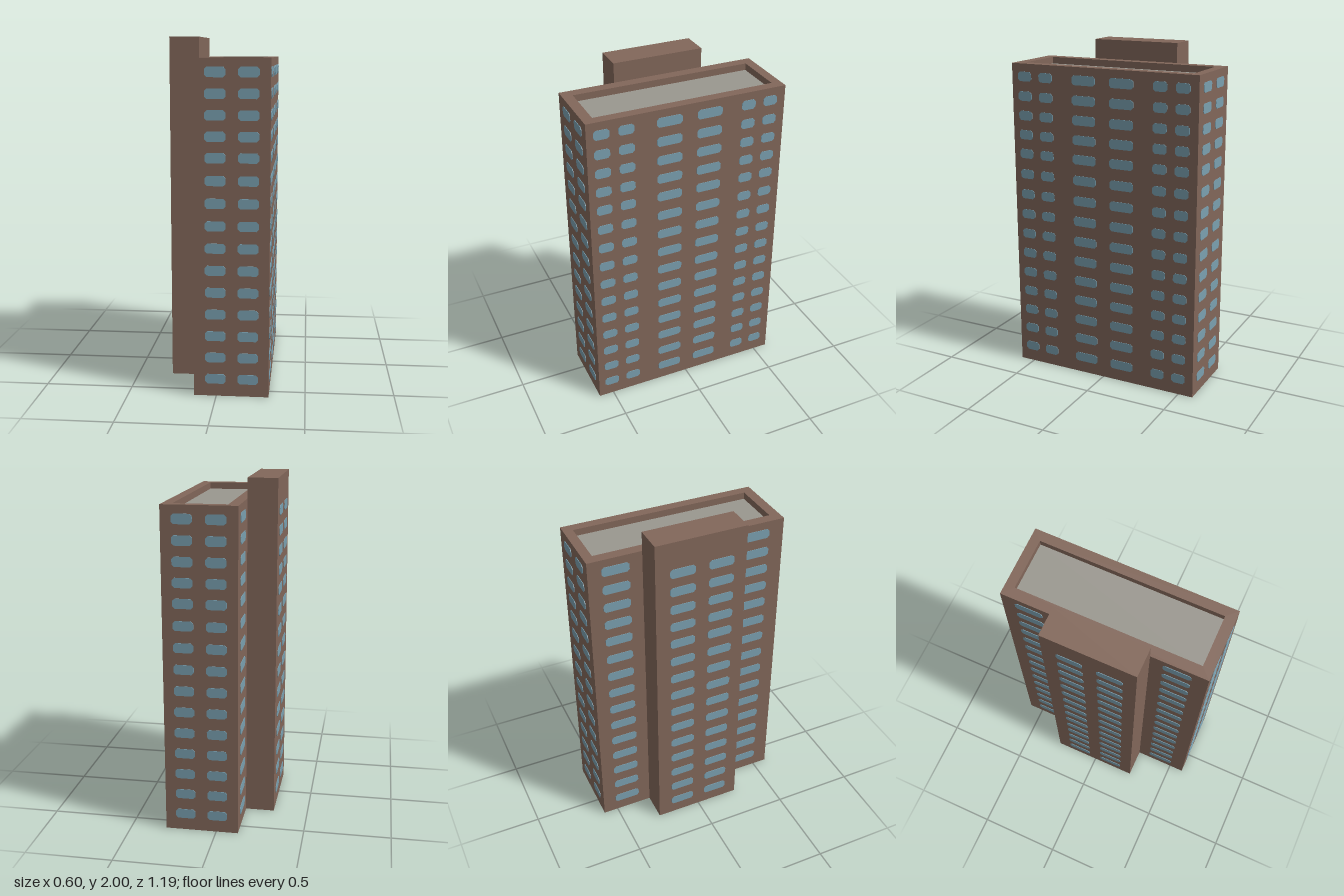
import * as THREE from 'three';
import { mergeGeometries } from 'three/addons/utils/BufferGeometryUtils.js';

const mat = (name, color) => new THREE.MeshStandardMaterial({ name, color, side: THREE.DoubleSide });

// Block plan: x range, z range and heights
const X0 = -0.127, X1 = 0.295, Z = 0.59, H = 1.885;
const TX = -0.297, TZ0 = -0.275, TZ1 = 0.265, TH = 2;
const ROOF_Y = H - 0.04, IN = { x0: -0.065, x1: 0.237, z0: -0.535, z1: 0.53 };
const FLOORS = 15;

// Storeys get slightly lower near the top
const floorY = i => 0.1 + 0.125 * Math.min(i, 10) + 0.115 * Math.max(0, i - 10);

// Thin window plate with clipped corners, visible on both faces of the wall
function windowGeometry(width) {
  const w = width / 2, h = 0.028, c = 0.013;
  const shape = new THREE.Shape([
    [-w + c, -h], [w - c, -h], [w, -h + c], [w, h - c],
    [w - c, h], [-w + c, h], [-w, h - c], [-w, -h + c],
  ].map(p => new THREE.Vector2(...p)));
  return new THREE.ExtrudeGeometry(shape, { depth: 0.006, bevelEnabled: false }).translate(0, 0, -0.003);
}

export function createModel() {
  const model = new THREE.Group();
  model.name = 'apartmentBlock';
  const brick = mat('brown brick', 0x82675a);
  const glass = mat('blue glass', 0x7aa0b0);
  const gravel = mat('grey roof', 0x9a978f);

  // Upright wall from plan point a to b; spans are window ranges measured from a
  function wall(name, a, b, y0, y1, spans = []) {
    const dx = b[0] - a[0], dz = b[1] - a[1], len = Math.hypot(dx, dz);
    const group = new THREE.Group();
    group.name = name;
    group.position.set((a[0] + b[0]) / 2, 0, (a[1] + b[1]) / 2);
    group.rotation.y = Math.atan2(-dz, dx);
    const panel = new THREE.Mesh(new THREE.PlaneGeometry(len, y1 - y0).translate(0, (y0 + y1) / 2, 0), brick);
    panel.name = name + 'Panel';
    group.add(panel);
    if (spans.length) {
      const plates = [];
      for (const [s, e] of spans)
        for (let i = 0; i < FLOORS; i++)
          plates.push(windowGeometry(e - s).translate((s + e) / 2 - len / 2, floorY(i), 0));
      const windows = new THREE.Mesh(mergeGeometries(plates), glass);
      windows.name = name + 'Windows';
      group.add(windows);
    }
    model.add(group);
  }

  // Horizontal surface from a plan shape, with an optional rectangular hole
  function slab(name, x0, x1, z0, z1, y, material, hole) {
    const rect = (C, l, r, b, f) => new C([[l, -f], [r, -f], [r, -b], [l, -b]].map(p => new THREE.Vector2(...p)));
    const shape = rect(THREE.Shape, x0, x1, z0, z1);
    if (hole) shape.holes.push(rect(THREE.Path, hole.x0, hole.x1, hole.z0, hole.z1));
    const mesh = new THREE.Mesh(new THREE.ShapeGeometry(shape).rotateX(-Math.PI / 2), material);
    mesh.name = name;
    mesh.position.y = y;
    model.add(mesh);
  }

  // Main block walls, open underneath and open into the side tower
  wall('frontWall', [X0, Z], [X1, Z], 0, H, [[0.065, 0.18], [0.247, 0.362]]);
  wall('longWall', [X1, Z], [X1, -Z], 0, H,
    [[0.04, 0.13], [0.18, 0.27], [0.40, 0.55], [0.64, 0.79], [0.91, 0.995], [1.045, 1.13]]);
  wall('backWall', [X1, -Z], [X0, -Z], 0, H, [[0.06, 0.175], [0.245, 0.36]]);
  wall('towerSideWallBack', [X0, -Z], [X0, TZ0], 0, H, [[0.08, 0.24]]);
  wall('towerSideWallFront', [X0, TZ1], [X0, Z], 0, H, [[0.075, 0.235]]);

  // Side tower
  wall('towerBack', [X0, TZ0], [TX, TZ0], 0, TH);
  wall('towerFace', [TX, TZ0], [TX, TZ1], 0, TH, [[0.085, 0.235], [0.315, 0.465]]);
  wall('towerFront', [TX, TZ1], [X0, TZ1], 0, TH);
  wall('towerInner', [X0, TZ1], [X0, TZ0], H, TH);
  slab('towerTop', TX, X0, TZ0, TZ1, TH, brick);

  // Parapet rim, its inner faces and the sunken roof
  slab('parapetRim', X0, X1, -Z, Z, H, brick, IN);
  const ring = [[IN.x0, IN.z1], [IN.x0, IN.z0], [IN.x1, IN.z0], [IN.x1, IN.z1]];
  ring.forEach((p, i) => wall('parapetInner' + (i + 1), p, ring[(i + 1) % 4], ROOF_Y, H));
  slab('roof', IN.x0, IN.x1, IN.z0, IN.z1, ROOF_Y, gravel);

  return model;
}
